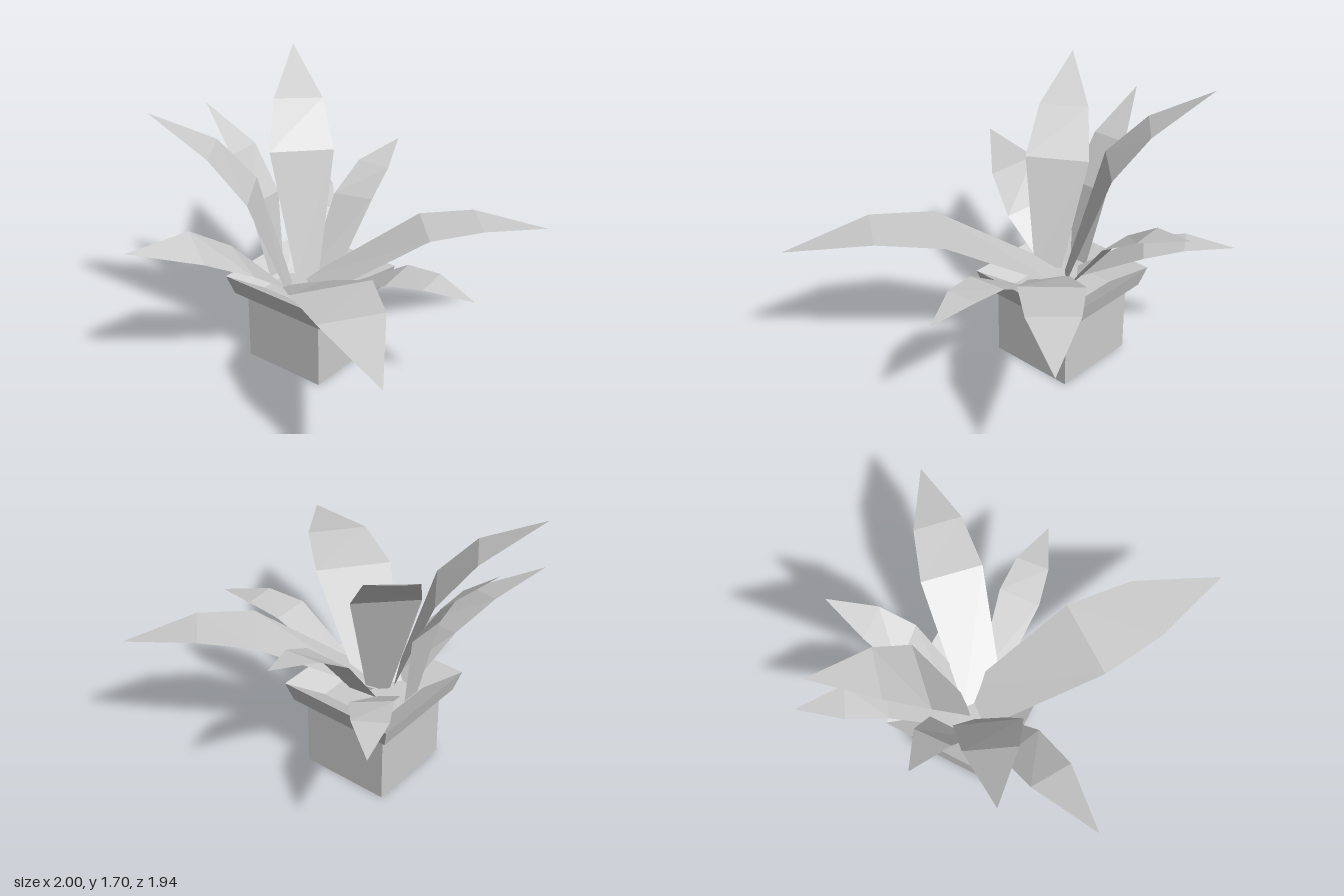
import * as THREE from 'three';

const material = new THREE.MeshStandardMaterial({ color: 0xcccccc, flatShading: true });
const leafMaterial = new THREE.MeshStandardMaterial({ color: 0xcccccc, flatShading: true, side: THREE.DoubleSide });

const SOIL_Y = 0.5; // leaves are rooted at this height inside the rim

// A square ring or cup: a four-sided lathe of [half width, y] points
function squareLathe(profile) {
  const points = profile.map(([half, y]) => new THREE.Vector2(half * Math.SQRT2, y));
  return new THREE.LatheGeometry(points, 4).rotateY(Math.PI / 4).toNonIndexed();
}

// A flat pointed blade: three cross-sections [edgeA, edgeB] followed by a tip.
// The first section is carried on down to the soil.
function leafGeometry(sections, tip) {
  const rows = sections.map((row) => row.map((p) => new THREE.Vector3(...p)));
  const root = rows[0].map((p, i) => {
    const next = rows[1][i];
    return p.clone().lerp(next, (SOIL_Y - p.y) / (next.y - p.y));
  });
  rows[0] = root;
  const corners = [];
  for (let i = 0; i < rows.length - 1; i++) {
    const [a, b] = rows[i];
    const [c, d] = rows[i + 1];
    corners.push(a, b, c, b, d, c);
  }
  const [a, b] = rows[rows.length - 1];
  corners.push(a, b, new THREE.Vector3(...tip));
  const geometry = new THREE.BufferGeometry().setFromPoints(corners);
  geometry.computeVertexNormals();
  return geometry;
}

// Each leaf: sections from base to shoulder, then tip
const leaves = {
  frontLeftLeaf: [[
    [[-0.28, 0.565, 0.18], [-0.1, 0.565, -0.07]],
    [[0.13, 0.87, 0.6], [0.4, 0.885, 0.22]],
    [[0.47, 0.915, 0.79], [0.69, 0.925, 0.49]],
  ], [1, 0.83, 0.94]],
  backLeftLeaf: [[
    [[-0.03, 0.565, 0], [-0.24, 0.565, -0.17]],
    [[0.4, 0.88, -0.33], [0.14, 0.87, -0.6]],
    [[0.61, 0.905, -0.58], [0.4, 0.9, -0.79]],
  ], [0.81, 0.83, -0.97]],
  leftLeaf: [[
    [[0.04, 0.565, 0.04], [0, 0.565, -0.12]],
    [[0.37, 0.76, 0.06], [0.35, 0.775, -0.19]],
    [[0.59, 0.79, 0.01], [0.57, 0.795, -0.19]],
  ], [0.85, 0.745, -0.12]],
  backLeaf: [[
    [[-0.16, 0.565, -0.21], [-0.35, 0.565, -0.19]],
    [[-0.125, 0.93, -0.48], [-0.39, 0.9, -0.45]],
    [[-0.16, 1.05, -0.69], [-0.37, 1.05, -0.67]],
  ], [-0.28, 1.12, -0.96]],
  backRightLowLeaf: [[
    [[-0.37, 0.565, -0.23], [-0.49, 0.565, -0.13]],
    [[-0.45, 0.75, -0.53], [-0.64, 0.76, -0.38]],
    [[-0.6, 0.805, -0.7], [-0.77, 0.805, -0.59]],
  ], [-0.85, 0.79, -0.88]],
  backRightTallLeaf: [[
    [[-0.26, 0.565, -0.14], [-0.37, 0.565, -0.03]],
    [[-0.33, 1.24, -0.37], [-0.6, 1.24, -0.1]],
    [[-0.51, 1.485, -0.49], [-0.73, 1.485, -0.3]],
  ], [-0.87, 1.7, -0.65]],
  frontRightTallLeaf: [[
    [[-0.38, 0.565, 0.01], [-0.28, 0.565, 0.17]],
    [[-0.6, 1.125, 0.02], [-0.39, 1.13, 0.34]],
    [[-0.76, 1.38, 0.17], [-0.6, 1.38, 0.42]],
  ], [-0.98, 1.59, 0.49]],
  rightLeaf: [[
    [[-0.5, 0.565, -0.08], [-0.5, 0.565, 0.06]],
    [[-0.575, 0.98, -0.14], [-0.575, 0.98, 0.12]],
    [[-0.74, 1.255, -0.13], [-0.73, 1.255, 0.09]],
  ], [-1, 1.49, 0]],
  frontLeaf: [[
    [[-0.46, 0.565, 0.12], [-0.29, 0.565, 0.18]],
    [[-0.56, 0.8, 0.3], [-0.3, 0.73, 0.4]],
    [[-0.67, 0.96, 0.53], [-0.43, 0.88, 0.66]],
  ], [-0.73, 0.985, 0.97]],
};

export function createModel() {
  const model = new THREE.Group();
  model.name = 'pottedPlant';

  // Square pot with a flared rim that slopes inward to the soil
  const pot = new THREE.Group();
  pot.name = 'pot';
  pot.position.set(-0.27, 0, -0.07);
  model.add(pot);

  const body = new THREE.Mesh(new THREE.BoxGeometry(0.54, 0.45, 0.54), material);
  body.name = 'potBody';
  body.position.y = 0.225;
  const rim = new THREE.Mesh(
    squareLathe([[0.26, 0.445], [0.325, 0.445], [0.36, 0.565], [0.2, 0.47], [0, 0.47]]),
    material,
  );
  rim.name = 'potRim';
  pot.add(body, rim);

  // Leaves
  const foliage = new THREE.Group();
  foliage.name = 'foliage';
  for (const [name, [sections, tip]] of Object.entries(leaves)) {
    const leaf = new THREE.Mesh(leafGeometry(sections, tip), leafMaterial);
    leaf.name = name;
    foliage.add(leaf);
  }
  model.add(foliage);
  return model;
}
